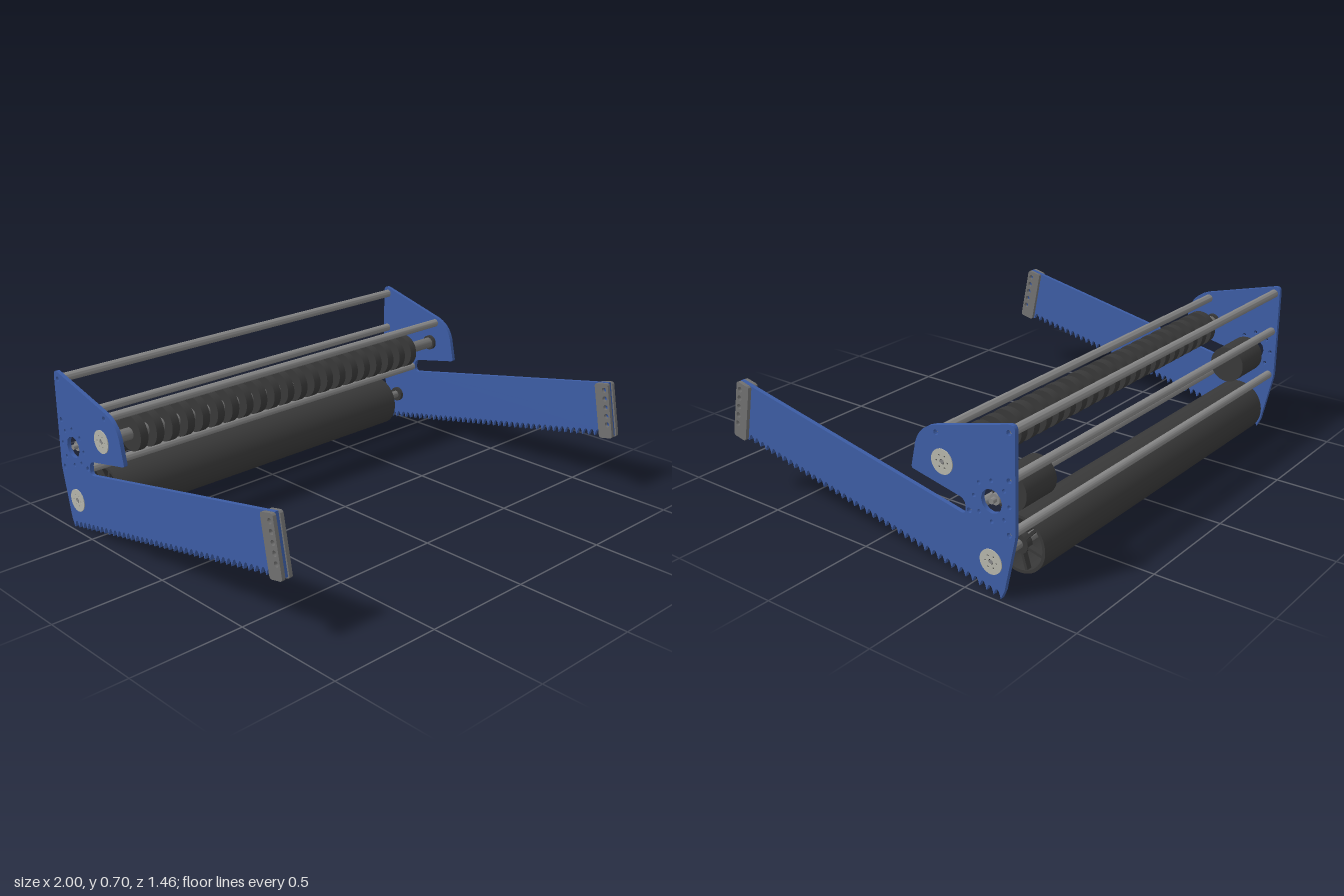
import * as THREE from 'three';
import { toCreasedNormals } from 'three/addons/utils/BufferGeometryUtils.js';

const mat = (color) => new THREE.MeshStandardMaterial({ color });
const BLUE = mat(0x3c5ca4), STEEL = mat(0x858585), DARK = mat(0x383838);
const PALE = mat(0xb4b4aa), GREY = mat(0x707070);

// Profiles are drawn in (u, y) with u = -z, then extruded along x from x0 to x1
function slab(shape, x0, x1, segments = 8) {
  const g = new THREE.ExtrudeGeometry(shape, {
    depth: Math.abs(x1 - x0), bevelEnabled: false, curveSegments: segments,
  });
  g.rotateY(Math.PI / 2).translate(Math.min(x0, x1), 0, 0);
  return toCreasedNormals(g, 0.6);
}

const circle = (Type, u, y, r) => new Type().absarc(u, y, r, 0, Math.PI * 2, false);

function punch(shape, list) {
  for (const [u, y, r] of list) shape.holes.push(circle(THREE.Path, u, y, r));
}

// Adds corners [u, y, radius] to a path, rounding each corner
function roundCorners(shape, pts, closed) {
  const v = pts.map((p) => new THREE.Vector2(p[0], p[1]));
  const n = v.length;
  pts.forEach(([u, y, r], i) => {
    const first = i === 0 && shape.curves.length === 0;
    if (!r || (!closed && (i === 0 || i === n - 1))) {
      first ? shape.moveTo(u, y) : shape.lineTo(u, y);
      return;
    }
    const toward = (w) => v[i].clone().add(w.clone().sub(v[i]).setLength(r));
    const a = toward(v[(i + n - 1) % n]), b = toward(v[(i + 1) % n]);
    first ? shape.moveTo(a.x, a.y) : shape.lineTo(a.x, a.y);
    shape.quadraticCurveTo(u, y, b.x, b.y);
  });
  if (closed) shape.closePath();
  return shape;
}

// Positions as [u, y]
const MOTOR = [0.616, 0.384], DRUM = [0.612, 0.142], COMB = [0.392, 0.474];
const RODS = [[0.364, 0.58], [0.695, 0.667], [0.695, 0.486], [0.695, 0.274], [0.514, 0.317]];
const CAP_HOLES = [0, 1, 2, 3, 4].map((i) => [-0.671 - i * 0.0078, 0.494 - i * 0.039, 0.0115]);

export function createModel() {
  const model = new THREE.Group();
  const add = (name, geometry, material, parent = model) => {
    const m = new THREE.Mesh(geometry, material);
    m.name = name;
    parent.add(m);
    return m;
  };
  // Solid or hollow round bar running along x
  const bar = (name, [u, y], r, hole, x0, x1, material, parent, segs = 16) => {
    const s = circle(THREE.Shape, u, y, r);
    if (hole) punch(s, [[u, y, hole]]);
    return add(name, slab(s, x0, x1, segs), material, parent);
  };

  // Side plate: toothed lower edge, slotted front edge, tall rear part
  const plate = new THREE.Shape();
  const teeth = 40, start = [-0.66, 0.268], end = [0.655, 0.003];
  plate.moveTo(-0.725, 0.285);
  plate.lineTo(...start);
  const du = (end[0] - start[0]) / teeth, dy = (end[1] - start[1]) / teeth;
  for (let i = 1; i <= teeth; i++) {
    const u = start[0] + du * i, y = start[1] + dy * i;
    plate.quadraticCurveTo(u - du * 0.55, y - dy / 2 + 0.062, u, y);
  }
  roundCorners(plate, [
    [0.672, 0.04], [0.722, 0.27, 0.02], [0.722, 0.705, 0.03], [0.355, 0.607, 0.02],
  ], false);
  plate.bezierCurveTo(0.295, 0.588, 0.265, 0.545, 0.258, 0.49);
  roundCorners(plate, [
    [0.258, 0.49], [0.24, 0.407, 0.012], [0.497, 0.355, 0.03],
    [0.497, 0.293, 0.025], [-0.68, 0.527],
  ], false);
  plate.closePath();
  const boltCircle = [...Array(8)].map((_, i) => {
    const a = (i * Math.PI) / 4;
    return [MOTOR[0] + 0.08 * Math.cos(a), MOTOR[1] + 0.08 * Math.sin(a), 0.0085];
  });
  punch(plate, [
    ...RODS.map((p) => [...p, 0.011]), ...boltCircle, ...CAP_HOLES,
    [...MOTOR, 0.047], [...DRUM, 0.03], [...COMB, 0.03],
  ]);

  // Clamp halves on the front tip of each plate
  const cap = roundCorners(new THREE.Shape(), [
    [-0.734, 0.28, 0.014], [-0.665, 0.266, 0.014], [-0.618, 0.514, 0.014], [-0.687, 0.528, 0.014],
  ], true);
  punch(cap, CAP_HOLES);

  for (const side of [1, -1]) {
    const g = new THREE.Group();
    g.name = side > 0 ? 'leftSide' : 'rightSide';
    model.add(g);
    add('sidePlate', slab(plate, side * 0.966, side * 0.984, 6), BLUE, g);
    add('innerTipClamp', slab(cap, side * 0.95, side * 0.966), GREY, g);
    add('outerTipClamp', slab(cap, side * 0.984, side * 1.0), GREY, g);

    // Bearings with a ring of screw holes, for drum and comb shaft
    for (const c of [DRUM, COMB]) {
      const flange = circle(THREE.Shape, ...c, 0.05);
      const screws = [...Array(6)].map((_, i) => {
        const a = (i * Math.PI) / 3;
        return [c[0] + 0.026 * Math.cos(a), c[1] + 0.026 * Math.sin(a), 0.004];
      });
      punch(flange, [[...c, 0.011], ...screws]);
      add('bearingFlange', slab(flange, side * 0.984, side * 0.988, 16), PALE, g);
      bar('bearingHub', c, 0.035, 0.01, side * 0.95, side * 0.984, DARK, g);
      bar('shaftEnd', c, 0.008, 0, side * 0.95, side * 0.987, STEEL, g, 8);
    }

    // Motor with its collar and output shaft
    bar('motorBody', MOTOR, 0.08, 0, side * 0.704, side * 0.885, DARK, g, 24);
    bar('motorCollar', MOTOR, 0.038, 0, side * 0.885, side * 0.9, DARK, g);
    bar('motorShaft', MOTOR, 0.022, 0.009, side * 0.9, side * 0.966, STEEL, g);
    bar('motorShaftTip', MOTOR, 0.011, 0, side * 0.9, side * 0.986, STEEL, g, 8);
  }

  // Hollow cross rods joining the plates
  RODS.forEach((p) => bar('crossRod', p, 0.0185, 0.0115, -0.966, 0.966, STEEL));

  // Drum: open tube on a shaft with spoked ends
  bar('drumTube', DRUM, 0.119, 0.106, -0.845, 0.82, DARK, model, 32);
  bar('drumShaft', DRUM, 0.018, 0, -0.95, 0.95, GREY);
  for (const x of [-0.83, 0.805]) {
    bar('drumHub', DRUM, 0.04, 0, x - 0.015, x + 0.015, DARK);
    for (let i = 0; i < 6; i++) {
      const a = (i * Math.PI) / 3 + 0.3;
      const spoke = add('drumSpoke', new THREE.BoxGeometry(0.024, 0.075, 0.012), DARK);
      spoke.position.set(x, DRUM[1] + 0.073 * Math.cos(a), -DRUM[0] + 0.073 * Math.sin(a));
      spoke.rotation.x = a;
    }
  }

  // Comb roller: row of discs on a shaft
  bar('combShaft', COMB, 0.026, 0, -0.95, 0.95, GREY);
  for (let i = 0; i < 21; i++) {
    const x = -0.829 + i * 0.07945;
    bar('combDisc', COMB, 0.078, 0.02, x - 0.0185, x + 0.0185, DARK);
  }
  return model;
}
